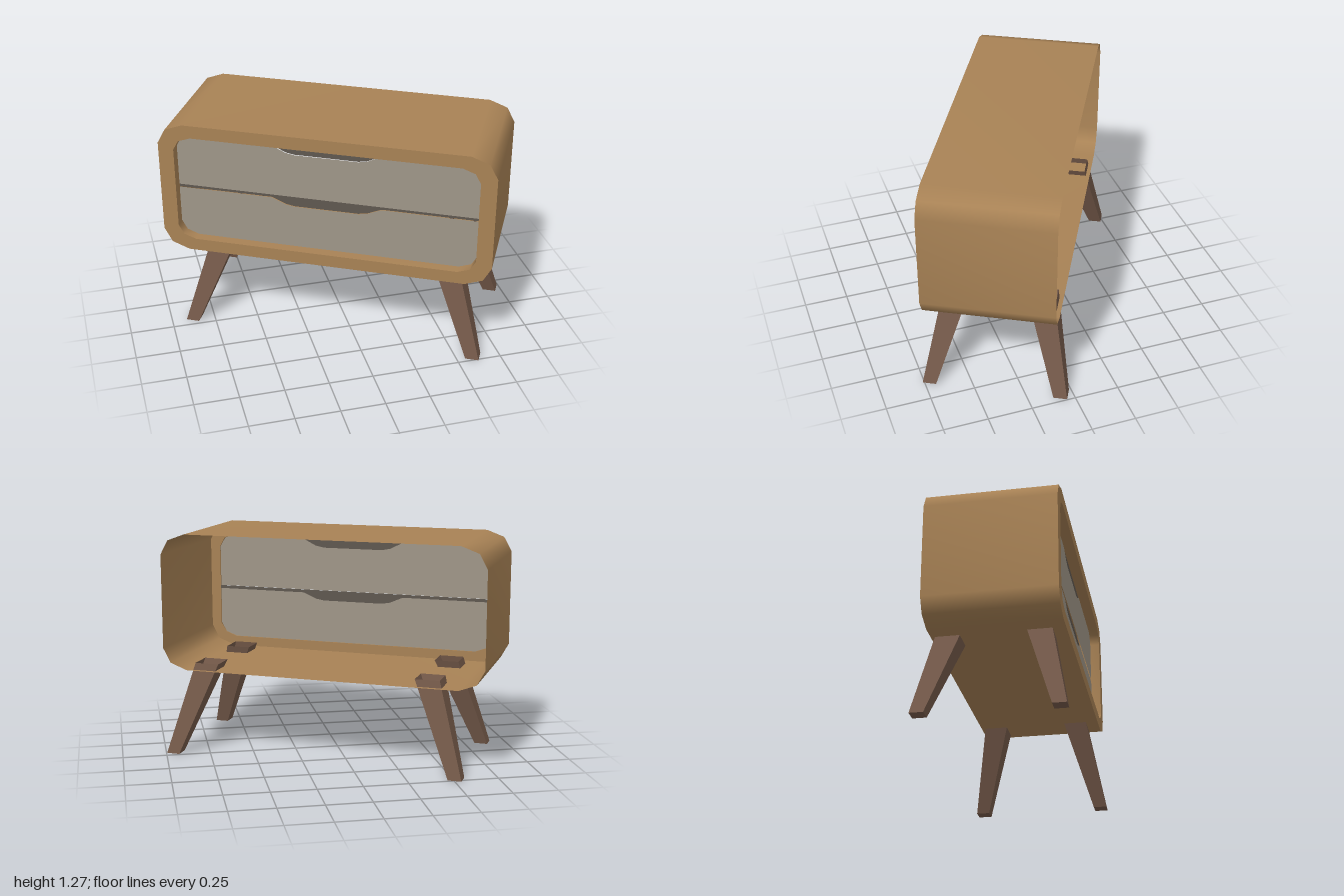
import * as THREE from 'three';

const mat = (color, extra = {}) => {
  const m = new THREE.MeshStandardMaterial({ color, side: THREE.DoubleSide, ...extra });
  return m;
};

// Rectangle with three-point rounded corners, counter-clockwise from lower right
function roundedProfile(hw, y0, y1, rx, ry) {
  const k = 0.31;
  const corner = [[0, ry], [k * rx, k * ry], [rx, 0]];
  const bottom = corner.map(([a, b]) => [hw - a, y0 + b]).reverse();
  const top = corner.map(([a, b]) => [hw - a, y1 - b]);
  const right = [...bottom, ...top];
  const yc = y0 + y1;
  // the left half is the right half turned by 180 degrees
  return [...right, ...right.map(([x, y]) => [-x, yc - y])];
}

// Wall that follows a closed profile from z0 to z1
function band(profile, z0, z1) {
  const n = profile.length, pos = [], idx = [];
  for (const z of [z0, z1]) for (const [x, y] of profile) pos.push(x, y, z);
  for (let i = 0; i < n; i++) {
    const j = (i + 1) % n;
    idx.push(i, j, n + j, i, n + j, n + i);
  }
  const g = new THREE.BufferGeometry();
  g.setAttribute('position', new THREE.Float32BufferAttribute(pos, 3));
  g.setIndex(idx);
  g.computeVertexNormals();
  return g;
}

const toShape = (pts) => new THREE.Shape(pts.map(([x, y]) => new THREE.Vector2(x, y)));

// Finger notch along a top edge, listed from right to left
const notch = (top, depth) => {
  const half = [[0.31, 0], [0.26, 0.5], [0.23, 0.8], [0.18, 1]];
  const r = half.map(([x, d]) => [x, top - d * depth]);
  return [...r, ...r.map(([x, y]) => [-x, y]).reverse()];
};

export function createModel() {
  const model = new THREE.Group();
  model.name = 'sideboard';
  const cabinet = new THREE.Group();
  cabinet.name = 'cabinet';
  cabinet.rotation.y = -0.491;
  model.add(cabinet);

  const wood = mat(0xa88255);
  const legWood = mat(0x755a4a, { flatShading: true });
  const grey = mat(0x9f9688);
  const dark = mat(0x5f5850);
  const add = (name, geo, material, z = 0) => {
    const m = new THREE.Mesh(geo, material);
    m.name = name;
    m.position.z = z;
    cabinet.add(m);
    return m;
  };

  // Body: thin shell open at the back, front frame and recessed lip
  const front = 0.3625, panelZ = 0.305;
  const outer = roundedProfile(0.938, 0.485, 1.268, 0.145, 0.12);
  const inner = roundedProfile(0.85, 0.557, 1.194, 0.1, 0.08);
  add('shell', band(outer, -front, front), wood);
  const frame = toShape(outer);
  frame.holes.push(new THREE.Path(inner.map(([x, y]) => new THREE.Vector2(x, y))));
  add('frontFrame', new THREE.ShapeGeometry(frame), wood, front);
  add('frameLip', band([...inner].reverse(), panelZ - 0.008, front), wood);

  // Drawer fronts with notched top edges
  const upper = [[-0.85, 0.872], [0.85, 0.872], [0.85, 1.114], [0.819, 1.167], [0.78, 1.182],
    ...notch(1.182, 0.05), [-0.78, 1.182], [-0.819, 1.167], [-0.85, 1.114]];
  const lower = [[-0.85, 0.637], [-0.819, 0.582], [-0.75, 0.557], [0.75, 0.557], [0.819, 0.582],
    [0.85, 0.637], [0.85, 0.854], ...notch(0.854, 0.043), [-0.85, 0.854]];
  add('upperDrawer', new THREE.ShapeGeometry(toShape(upper)), grey, panelZ);
  add('lowerDrawer', new THREE.ShapeGeometry(toShape(lower)), grey, panelZ);

  // Dark gaps and finger recesses behind the drawer fronts
  const gap = (hw, top, bottom, depth) => toShape([[hw, top], ...[[hw, bottom]],
    ...notch(bottom, depth), [-hw, bottom], [-hw, top]]);
  add('upperGap', new THREE.ShapeGeometry(gap(0.76, 1.194, 1.182, 0.05)), dark, panelZ - 0.006);
  add('lowerGap', new THREE.ShapeGeometry(gap(0.85, 0.872, 0.854, 0.043)), dark, panelZ - 0.006);

  // Splayed, tapered legs, open at the top where they enter the body
  const topY = 0.525;
  for (const sx of [-1, 1]) for (const sz of [1, -1]) {
    const g = new THREE.BoxGeometry(1, 1, 1);
    const p = g.attributes.position;
    for (let i = 0; i < p.count; i++) {
      const up = p.getY(i) > 0;
      const size = up ? 0.14 : 0.076;
      p.setXYZ(i,
        0.033 + sx * (up ? 0.648 : 0.83) + p.getX(i) * size,
        up ? topY : 0,
        -0.024 + sz * (up ? 0.238 : 0.366) + p.getZ(i) * size);
    }
    // leave out the top face
    g.setIndex(Array.from(g.index.array).filter((_, i) => i < 12 || i >= 18));
    g.computeVertexNormals();
    add((sz > 0 ? 'front' : 'back') + (sx > 0 ? 'Left' : 'Right') + 'Leg', g, legWood);
  }
  return model;
}
